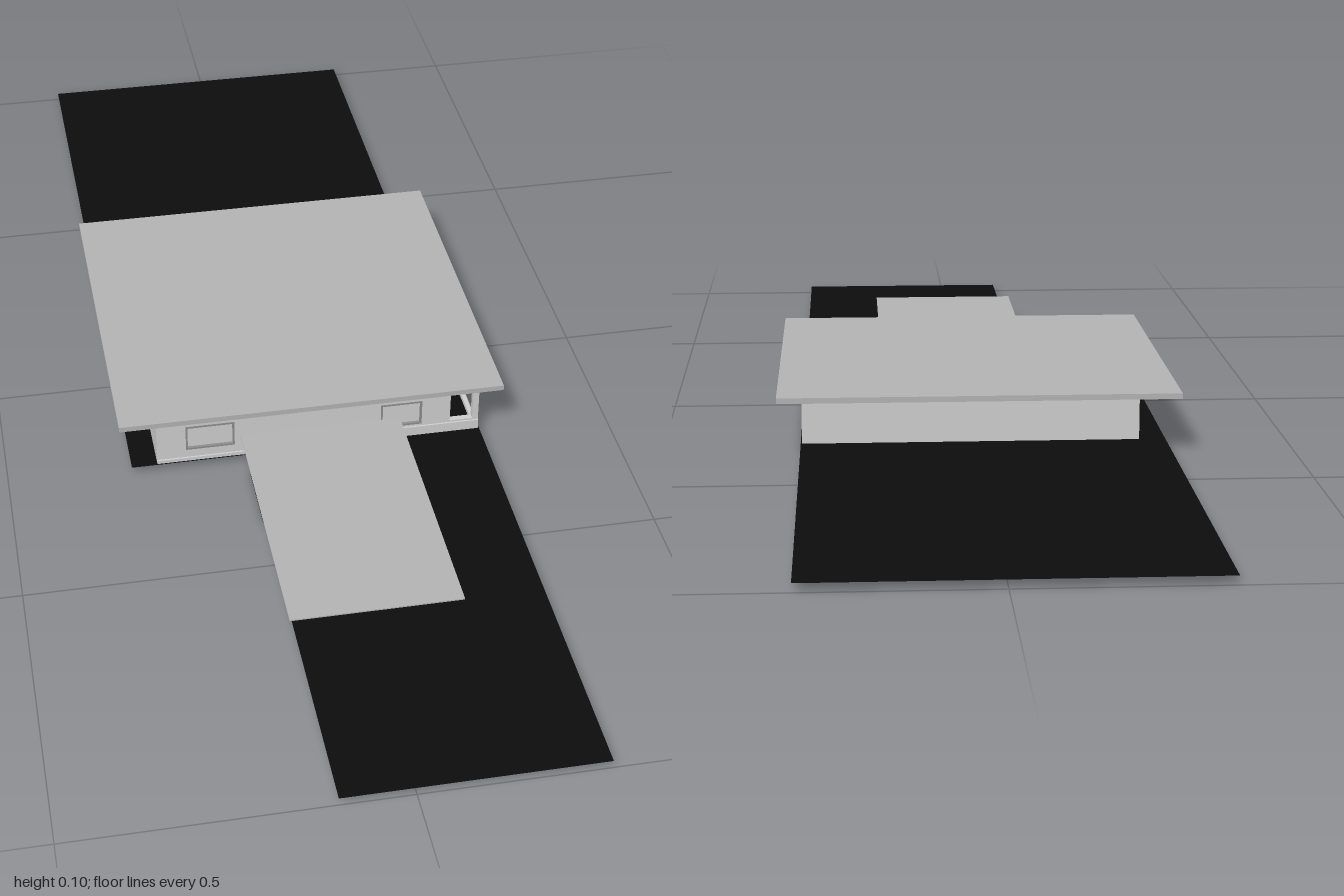
import * as THREE from 'three';

const mat = (name, color, side = THREE.FrontSide) => {
  const m = new THREE.MeshStandardMaterial({ color, side });
  m.name = name;
  return m;
};

export function createModel() {
  const wall = mat('wall grey', 0xcccccc);
  const roof = mat('roof grey', 0xb2b2b2);
  const roofSheet = mat('canopy grey', 0xb2b2b2, THREE.DoubleSide);
  const ground = mat('ground black', 0x0c0c0c, THREE.DoubleSide);
  const trim = mat('frame grey', 0x8c8c8c);
  const group = new THREE.Group();

  const add = (name, geo, material) => {
    const m = new THREE.Mesh(geo, material);
    m.name = name;
    group.add(m);
    return m;
  };
  // Box given by its limits on each axis
  const box = (name, material, x0, x1, y0, y1, z0, z1) =>
    add(name, new THREE.BoxGeometry(x1 - x0, y1 - y0, z1 - z0), material)
      .position.set((x0 + x1) / 2, (y0 + y1) / 2, (z0 + z1) / 2);
  const rect = (Type, x0, x1, y0, y1) => new Type([
    [x0, y0], [x1, y0], [x1, y1], [x0, y1],
  ].map(([x, y]) => new THREE.Vector2(x, y)));

  // Ground: wide rear yard and narrow front drive
  const plot = new THREE.Shape([
    [-0.3, -1], [0.28, -1], [0.28, 1], [-0.11, 1], [-0.11, 0.24], [-0.3, 0.24],
  ].map(([x, z]) => new THREE.Vector2(x, z)));
  add('ground', new THREE.ShapeGeometry(plot).rotateX(Math.PI / 2), ground).position.y = 0.013;

  // Main roof slab
  box('mainRoof', roof, -0.318, 0.316, 0.092, 0.101, -0.365, 0.245);

  // House walls; the left side is open between corner posts
  const B = 0.013, T = 0.092;
  box('backWall', wall, -0.258, 0.278, B, T, -0.308, -0.298);
  box('rightWall', wall, -0.258, -0.248, B, T, -0.298, 0.225);
  box('rearPost', wall, 0.268, 0.278, B, T, -0.298, -0.28);
  box('sideSill', wall, 0.27, 0.278, B, 0.02, -0.28, 0.225);
  box('sideLintel', wall, 0.27, 0.278, 0.087, T, -0.28, 0.225);

  // Front wall with two windows and a corner opening
  const windows = [[-0.21, -0.13, 0.034, 0.08], [0.113, 0.182, 0.034, 0.08]];
  const front = rect(THREE.Shape, -0.258, 0.278, B, T);
  front.holes = [...windows, [0.23, 0.268, 0.033, 0.088]].map(w => rect(THREE.Path, ...w));
  add('frontWall', new THREE.ExtrudeGeometry(front, { depth: 0.01, bevelEnabled: false }), wall)
    .position.z = 0.225;
  box('frontPlinth', wall, -0.258, 0.14, B, 0.019, 0.235, 0.238);
  box('frontPlinthStep', wall, 0.14, 0.278, B, 0.03, 0.235, 0.238);

  // Window frames and panes
  for (const [x0, x1, y0, y1] of windows) {
    const frame = rect(THREE.Shape, x0, x1, y0, y1);
    frame.holes = [rect(THREE.Path, x0 + 0.003, x1 - 0.003, y0 + 0.003, y1 - 0.003)];
    add('windowFrame', new THREE.ExtrudeGeometry(frame, { depth: 0.008, bevelEnabled: false }), trim)
      .position.z = 0.228;
    box('windowPane', wall, x0 + 0.003, x1 - 0.003, y0 + 0.003, y1 - 0.003, 0.228, 0.231);
  }

  // Inner partitions and furniture blocks
  box('partition', wall, -0.248, 0.2, B, T, 0.1, 0.108);
  box('partition', wall, 0.02, 0.03, B, T, -0.298, 0.1);
  for (const [x, z0, z1, h] of [
    [0.15, -0.085, 0.035, 0.075], [0.15, -0.22, -0.125, 0.075],
    [0.2, 0.13, 0.19, 0.05], [-0.12, -0.2, -0.12, 0.05], [-0.12, -0.03, 0.05, 0.05],
  ]) box('furniture', wall, x - 0.03, x + 0.03, B, h, z0, z1);

  // Floor patch showing below the ground
  box('floorPatch', trim, -0.245, -0.195, 0.011, 0.0128, -0.12, 0.06);

  // Carport canopy, pillar and screen walls
  box('canopy', roofSheet, -0.12, 0.145, 0.049, 0.051, 0.235, 0.68);
  box('pillar', wall, -0.008, 0.045, B, 0.049, 0.578, 0.615);
  box('screenWall', roof, -0.104, -0.008, B, 0.049, 0.4, 0.435);
  box('sideWall', wall, -0.11, -0.1, B, 0.049, 0.235, 0.275);

  // Black side panel with its sunken base
  box('sidePanel', ground, -0.111, -0.103, 0, 0.049, 0.275, 0.4);
  box('sunkenBase', ground, -0.106, -0.033, 0, 0.011, 0.275, 0.4);

  // Mirrored low wedges beside the pillar
  for (const s of [-1, 1]) {
    const wedge = new THREE.Shape([
      [0.02 + s * 0.055, B], [0.02 + s * 0.034, 0.026], [0.02 + s * 0.028, 0.026], [0.02 + s * 0.028, B],
    ].map(([x, y]) => new THREE.Vector2(x, y)));
    add('wedge', new THREE.ExtrudeGeometry(wedge, { depth: 0.095, bevelEnabled: false }), wall)
      .position.z = 0.455;
  }
  return group;
}
